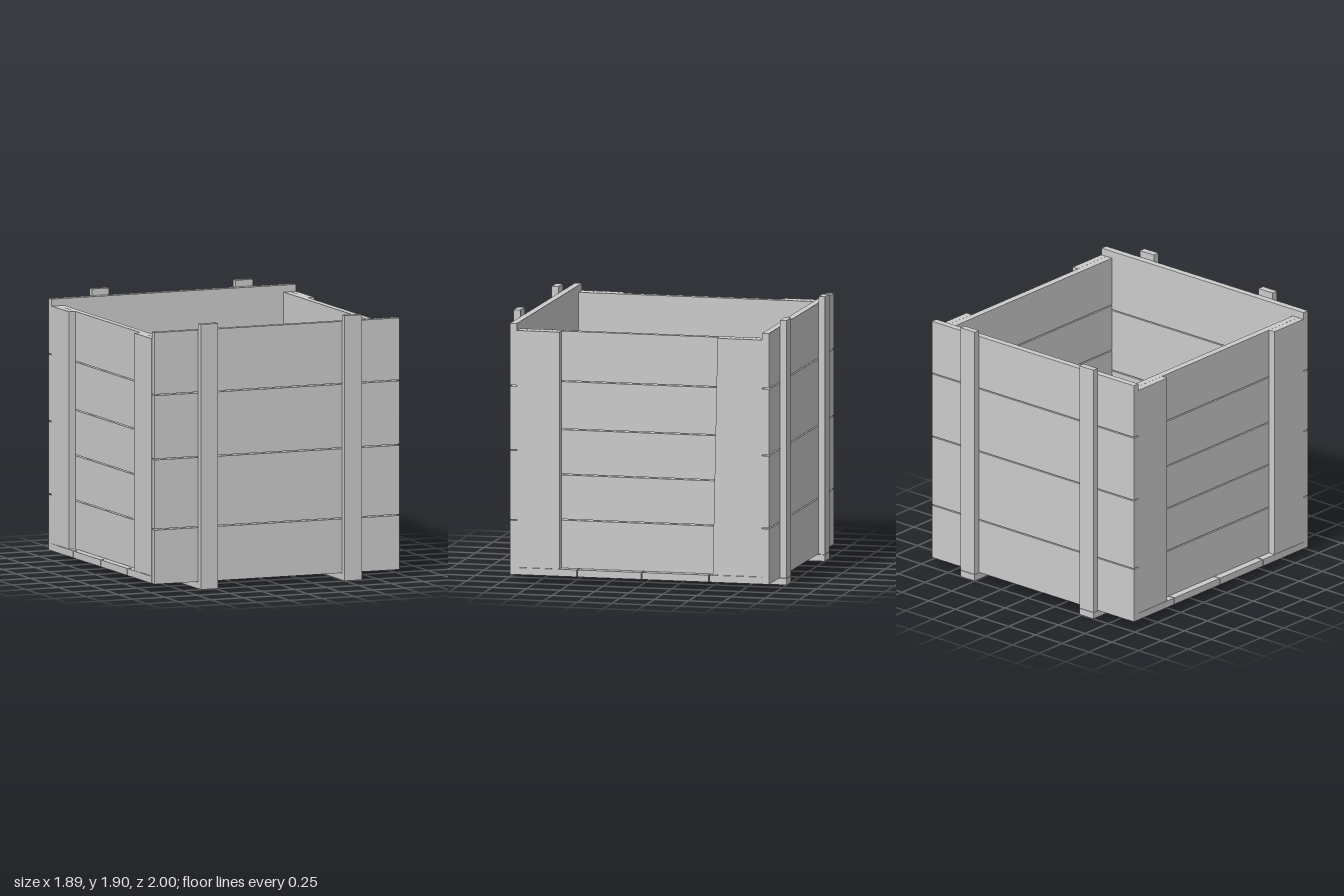
import * as THREE from 'three';

const GAP = 0.008;

export function createModel() {
  const crate = new THREE.Group();
  crate.name = 'crate';
  const material = new THREE.MeshStandardMaterial({ color: 0xcccccc, flatShading: true });

  // Box from its min and max corners
  function board(name, [x0, y0, z0], [x1, y1, z1], parent = crate) {
    const geometry = new THREE.BoxGeometry(x1 - x0, y1 - y0, z1 - z0);
    geometry.translate((x0 + x1) / 2, (y0 + y1) / 2, (z0 + z1) / 2);
    const mesh = new THREE.Mesh(geometry, material);
    mesh.name = name;
    parent.add(mesh);
    return mesh;
  }

  // Row of boards split along one axis (0 x, 1 y, 2 z) at the given seams
  function planks(name, min, max, axis, seams) {
    const group = new THREE.Group();
    group.name = name;
    const edges = [min[axis], ...seams, max[axis]];
    for (let i = 0; i < edges.length - 1; i++) {
      const a = [...min], b = [...max];
      a[axis] = edges[i] + (i > 0 ? GAP / 2 : 0);
      b[axis] = edges[i + 1] - (i < edges.length - 2 ? GAP / 2 : 0);
      board(name + 'Plank', a, b, group);
    }
    crate.add(group);
  }

  // Floor, end walls and inner side walls
  planks('floor', [-0.948, 0.05, -0.898], [0.945, 0.1, 0.895], 2, [-0.51, -0.016, 0.455]);
  planks('frontWall', [-0.948, 0.05, 0.897], [0.945, 1.855, 0.947], 1, [0.442, 0.945, 1.407]);
  planks('backWall', [-0.948, 0.05, -0.95], [0.945, 1.855, -0.9], 1, [0.452, 0.976, 1.457]);
  const sideSeams = [0.45, 0.775, 1.1, 1.446];
  planks('leftWall', [0.845, 0.102, -0.898], [0.895, 1.805, 0.895], 1, sideSeams);
  planks('rightWall', [-0.898, 0.102, -0.898], [-0.848, 1.805, 0.895], 1, sideSeams);

  // Corner cleats outside the side walls
  board('leftFrontCleat', [0.896, 0.102, 0.583], [0.945, 1.805, 0.895]);
  board('rightFrontCleat', [-0.948, 0.102, 0.58], [-0.899, 1.805, 0.895]);
  board('rightBackCleat', [-0.948, 0.102, -0.898], [-0.899, 1.805, -0.587]);

  // This cleat is cut on a slant: wider at the bottom than at the top
  const slanted = board('leftBackCleat', [0.896, 0.102, -0.898], [0.945, 1.805, -0.573]);
  const p = slanted.geometry.attributes.position;
  for (let i = 0; i < p.count; i++) {
    if (p.getZ(i) > -0.7 && p.getY(i) < 1) p.setZ(i, -0.538);
  }
  slanted.geometry.computeVertexNormals();

  // Two sets of battens, with runners under the floor
  for (const [x0, x1] of [[-0.612, -0.48], [0.5, 0.632]]) {
    board('frontBatten', [x0, 0, 0.95], [x1, 1.902, 1]);
    board('backBatten', [x0, 0.05, -1], [x1, 1.902, -0.953]);
    board('floorRunner', [x0, 0, -1], [x1, 0.047, 0.948]);
  }
  return crate;
}
